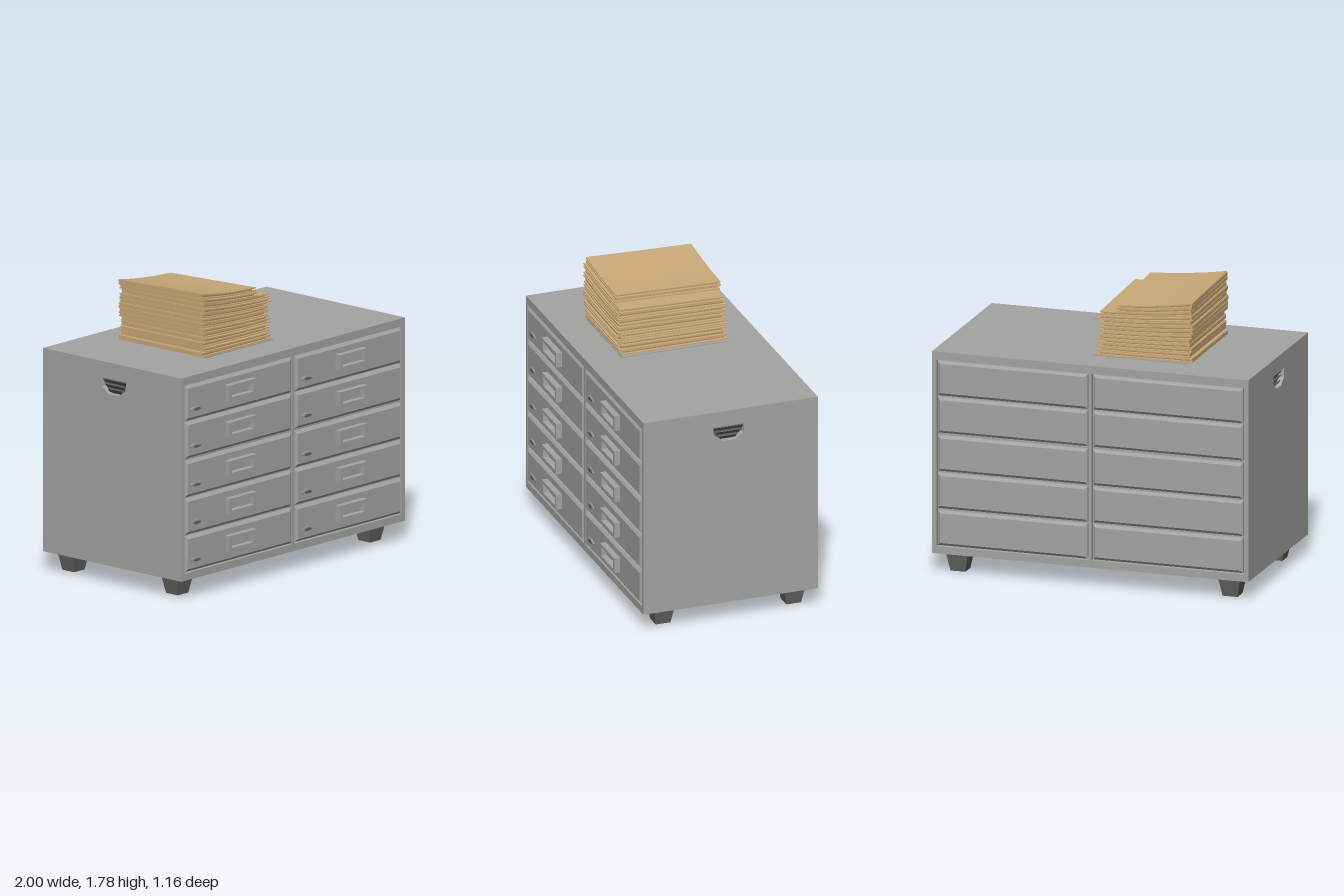
import * as THREE from 'three';

const flat = (name, color, extra = {}) => {
  const m = new THREE.MeshStandardMaterial({ color, ...extra });
  m.name = name;
  return m;
};

// Closed rectangle as a Shape or Path, by centre and size
function rect(Type, cx, cy, w, h) {
  const p = new Type();
  p.moveTo(cx - w / 2, cy - h / 2);
  p.lineTo(cx + w / 2, cy - h / 2);
  p.lineTo(cx + w / 2, cy + h / 2);
  p.lineTo(cx - w / 2, cy + h / 2);
  p.closePath();
  return p;
}

const extrude = (shape, depth, bevel = 0) => new THREE.ExtrudeGeometry(shape, {
  depth: depth - bevel, bevelEnabled: bevel > 0, bevelThickness: bevel,
  bevelSize: bevel * 1.3, bevelOffset: -bevel * 1.3, bevelSegments: 1, curveSegments: 8,
});

export function createModel() {
  const model = new THREE.Group();
  model.name = 'filingCabinet';
  const steel = flat('greySteel', 0xa4a4a2);
  const dark = flat('darkMetal', 0x626561);
  const tan = flat('tanFolder', 0xc9a978);
  const paper = flat('agedPaper', 0xb08f60);

  const add = (parent, name, geo, mat, x = 0, y = 0, z = 0) => {
    const mesh = new THREE.Mesh(geo, mat);
    mesh.name = name;
    mesh.position.set(x, y, z);
    parent.add(mesh);
    return mesh;
  };

  const bottom = 0.12, top = 1.375, midY = (bottom + top) / 2, height = top - bottom;
  const front = 0.545, back = -0.57, frameDepth = 0.03;
  const coreDepth = front - back - 2 * frameDepth, coreZ = (front + back) / 2;

  // Cabinet body
  const body = new THREE.Group();
  body.name = 'cabinetBody';
  model.add(body);
  add(body, 'core', new THREE.BoxGeometry(1.92, height, coreDepth), steel, 0, midY, coreZ);

  // Front and back frames, open around each drawer column
  const frameShape = rect(THREE.Shape, 0, midY, 2, height);
  for (const s of [-1, 1]) frameShape.holes.push(rect(THREE.Path, s * 0.491, 0.745, 0.962, 1.16));
  const frameGeo = extrude(frameShape, frameDepth);
  add(body, 'frontFrame', frameGeo, steel, 0, 0, front - frameDepth);
  add(body, 'backFrame', frameGeo, steel, 0, 0, back);

  // Side panels with a louvred hand grip
  const gripPoints = [[-0.1, 1.275], [-0.095, 1.22], [-0.04, 1.18], [0.04, 1.18], [0.095, 1.22], [0.1, 1.275]];
  for (const s of [-1, 1]) {
    const side = rect(THREE.Shape, -s * coreZ, midY, coreDepth, height);
    side.holes.push(new THREE.Path(gripPoints.map(([x, y]) => new THREE.Vector2(x, y))));
    const geo = extrude(side, 0.04);
    geo.rotateY(s * Math.PI / 2);
    add(body, s > 0 ? 'leftPanel' : 'rightPanel', geo, steel, s * 0.96);
    add(body, 'gripRecess', new THREE.BoxGeometry(0.008, 0.12, 0.22), dark, s * 0.962, 1.228, 0);
    for (let i = 0; i < 3; i++) {
      const slat = add(body, 'gripLouvre', new THREE.BoxGeometry(0.006, 0.03, 0.185 - 0.04 * (2 - i)), dark,
        s * 0.982, 1.2 + i * 0.028, 0);
      slat.rotation.z = -s * 0.7;
    }
  }

  // Drawers, five rows in two columns, front and back
  const rows = [[0.172, 0.388], [0.402, 0.62], [0.634, 0.854], [0.872, 1.092], [1.104, 1.318]];
  const holderShape = rect(THREE.Shape, 0, 0, 0.245, 0.095);
  holderShape.holes.push(rect(THREE.Path, 0, 0, 0.2, 0.056));
  const holderGeo = extrude(holderShape, 0.04);
  const lockShape = new THREE.Shape().absellipse(0, 0, 0.052, 0.018, 0, Math.PI * 2);
  const lockGeo = extrude(lockShape, 0.008);
  const slotGeo = extrude(new THREE.Shape().absellipse(0, 0, 0.032, 0.009, 0, Math.PI * 2), 0.01);
  for (const [y0, y1] of rows) {
    const y = (y0 + y1) / 2;
    const panelGeo = extrude(rect(THREE.Shape, 0, 0, 0.945, y1 - y0), 0.03, 0.012);
    for (const s of [-1, 1]) {
      const drawer = new THREE.Group();
      drawer.name = 'drawer';
      drawer.position.set(s * 0.491, y, front);
      model.add(drawer);
      add(drawer, 'drawerFront', panelGeo, steel, 0, 0, -0.024);
      add(drawer, 'labelHolder', holderGeo, steel, s * 0.005, 0.008, 0.003);
      const lockX = s < 0 ? -0.38 : -0.37;
      add(drawer, 'lockPlate', lockGeo, steel, lockX, -0.042, 0.003);
      add(drawer, 'lockSlot', slotGeo, dark, lockX, -0.045, 0.003);

      const rear = add(model, 'backPanel', panelGeo, steel, s * 0.491, y, back + 0.026);
      rear.rotation.y = Math.PI;
      add(model, 'backRidge', new THREE.BoxGeometry(0.18, 0.026, 0.014), steel, s * 0.5, y - 0.005, back + 0.001);
    }
  }

  // Tapered feet
  for (const x of [-0.86, 0.86]) {
    for (const z of [0.385, -0.45]) {
      const geo = new THREE.CylinderGeometry(0.07 * Math.SQRT2, 0.047 * Math.SQRT2, 0.12, 4).toNonIndexed();
      geo.rotateY(Math.PI / 4);
      geo.computeVertexNormals();
      add(model, 'foot', geo, dark, x, 0.06, z);
    }
  }

  // Stack of folders, bent by one shared rule so that layers stay apart
  const stack = new THREE.Group();
  stack.name = 'folderStack';
  model.add(stack);
  let seed = 7;
  const rand = () => (seed = (seed * 16807) % 2147483647) / 2147483647;
  const jitter = a => (rand() * 2 - 1) * a;
  const sheet = (name, mat, x0, x1, z0, z1, y0, y1, turn) => {
    let geo = new THREE.BoxGeometry(x1 - x0, y1 - y0, z1 - z0, 8, 1, 6);
    geo.rotateY(turn);
    geo.translate((x0 + x1) / 2, (y0 + y1) / 2, (z0 + z1) / 2);
    const p = geo.attributes.position;
    for (let i = 0; i < p.count; i++) {
      const u = (p.getX(i) + 0.26) / 0.31, v = p.getZ(i) / 0.35;
      const t = (p.getY(i) - top) / 0.36;
      p.setY(i, p.getY(i) + t * (-0.027 * u + 0.014 * u * u + 0.012 * v));
    }
    geo = geo.toNonIndexed();
    geo.computeVertexNormals();
    add(stack, name, geo, mat);
  };

  // Loose grey sheet under the stack
  sheet('bottomSheet', steel, -0.54, 0.06, -0.355, 0.33, top + 0.002, top + 0.008, 0);
  const count = 13, step = 0.0265;
  for (let i = 0; i < count; i++) {
    const y = top + 0.009 + i * step;
    const last = i >= count - 2;
    const x0 = -0.555 + jitter(0.012), x1 = (last ? -0.08 : 0.025 - i * 0.001) + jitter(0.018);
    const z0 = -0.348 + jitter(0.01), z1 = 0.333 + jitter(0.013), turn = jitter(0.018);
    sheet('folderBack', tan, x0, x1, z0, z1, y, y + 0.007, turn);
    sheet('papers', paper, x0 + 0.008, x1 - 0.02, z0 + 0.015, z1 - 0.015, y + 0.007, y + 0.018, turn);
    sheet('folderCover', tan, x0, x1 - rand() * 0.02, z0, z1, y + 0.018, y + 0.0245, turn + jitter(0.008));
    // Folded spine
    sheet('folderSpine', tan, x0 - 0.004, x0 + 0.01, z0 + 0.01, z1 - 0.01, y + 0.003, y + 0.022, 0);
  }
  return model;
}
